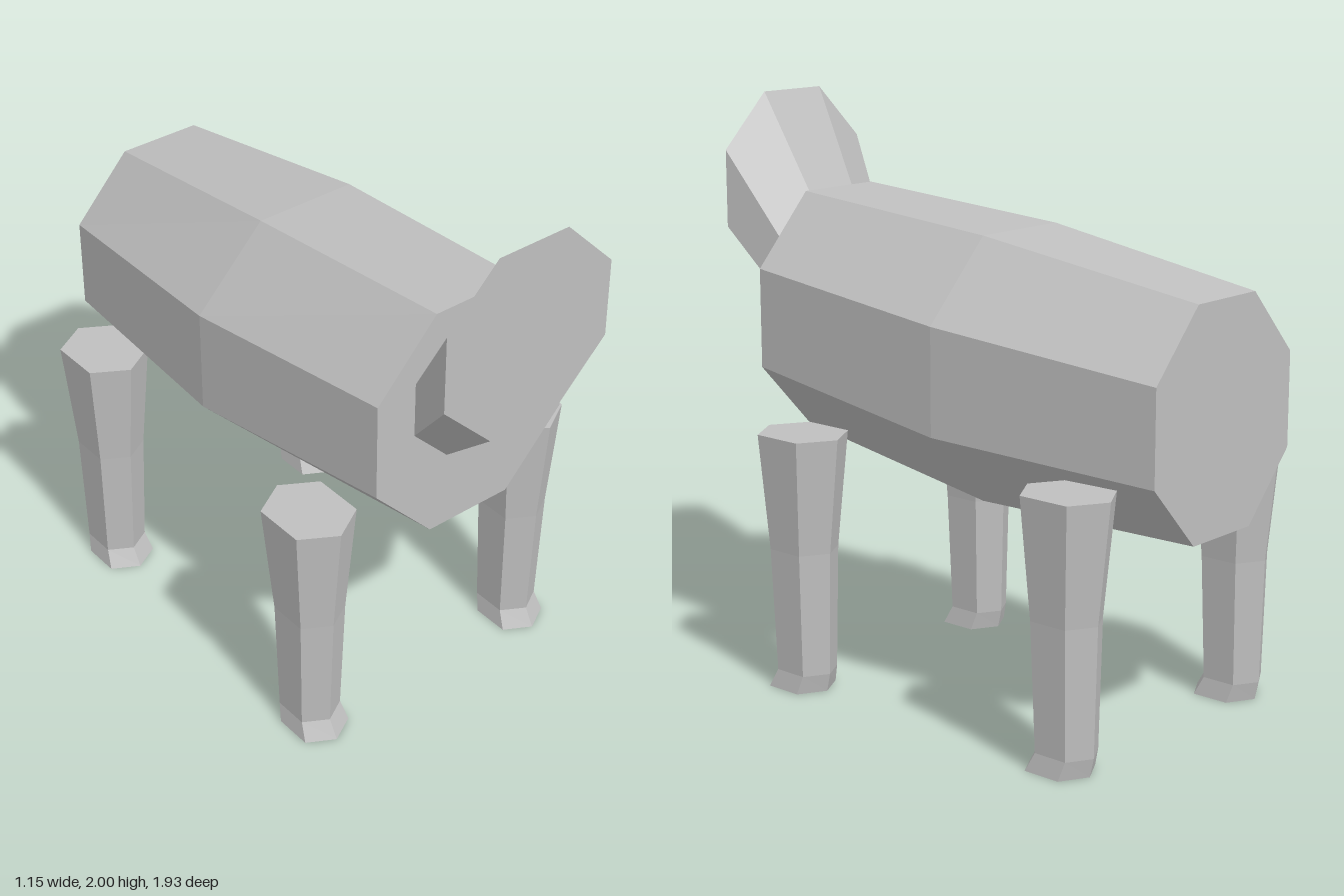
import * as THREE from 'three';

// Skin a list of rings (each counter-clockwise seen from the first end), with caps
function loft(rings) {
  const pos = [], n = rings[0].length;
  const tri = (...pts) => pts.forEach((p) => pos.push(...p));
  for (let i = 0; i < rings.length - 1; i++) {
    const r = rings[i], s = rings[i + 1];
    for (let j = 0; j < n; j++) {
      const k = (j + 1) % n;
      tri(r[j], s[j], s[k]);
      tri(r[j], s[k], r[k]);
    }
  }
  const first = rings[0], last = rings[rings.length - 1];
  for (let j = 1; j < n - 1; j++) {
    tri(first[0], first[j], first[j + 1]);
    tri(last[0], last[j + 1], last[j]);
  }
  const g = new THREE.BufferGeometry();
  g.setAttribute('position', new THREE.Float32BufferAttribute(pos, 3));
  g.computeVertexNormals();
  return g;
}

// Octagon facing z: centre x, half widths (outer, inner), four heights from bottom to top
const octagon = (z, cx, outer, inner, y0, y1, y2, y3) => [
  [cx + outer, y1, z], [cx + outer, y2, z], [cx + inner, y3, z], [cx - inner, y3, z],
  [cx - outer, y2, z], [cx - outer, y1, z], [cx - inner, y0, z], [cx + inner, y0, z],
];

// Hexagon facing y, pointed along z
const hexagon = (y, hx, rz, cz) => [
  [0, y, cz + rz], [hx, y, cz + rz * 0.56], [hx, y, cz - rz * 0.56],
  [0, y, cz - rz], [-hx, y, cz - rz * 0.56], [-hx, y, cz + rz * 0.56],
];

export function createModel() {
  const model = new THREE.Group();
  model.name = 'animal';
  const grey = new THREE.MeshStandardMaterial({ color: 0xbfbfbf });
  grey.name = 'grey';
  grey.flatShading = true;

  const add = (name, geometry, x = 0, z = 0) => {
    const mesh = new THREE.Mesh(geometry, grey);
    mesh.name = name;
    mesh.position.set(x, 0, z);
    model.add(mesh);
  };

  // Barrel body, front to back
  add('body', loft([
    octagon(0.71, 0, 0.39, 0.163, 0.843, 1.085, 1.43, 1.675),
    octagon(-0.13, 0, 0.442, 0.185, 0.715, 0.98, 1.345, 1.608),
    octagon(-0.967, 0, 0.358, 0.15, 0.715, 0.937, 1.257, 1.48),
  ]));

  // Flared head rising from the chest
  add('head', loft([
    octagon(0.967, -0.028, 0.327, 0.136, 1.35, 1.54, 1.81, 2.0),
    octagon(0.71, -0.002, 0.238, 0.1, 1.115, 1.255, 1.45, 1.587),
  ]));

  // Four tapered legs with the feet flared forward
  const leg = loft([
    hexagon(0.905, 0.123, 0.165, 0),
    hexagon(0.5, 0.094, 0.124, 0.003),
    hexagon(0.065, 0.083, 0.109, -0.001),
    hexagon(0, 0.094, 0.12, 0.025),
  ]);
  for (const [side, x] of [['left', 0.452], ['right', -0.452]]) {
    add(`${side}FrontLeg`, leg, x, 0.45);
    add(`${side}BackLeg`, leg, x, -0.71);
  }
  return model;
}
